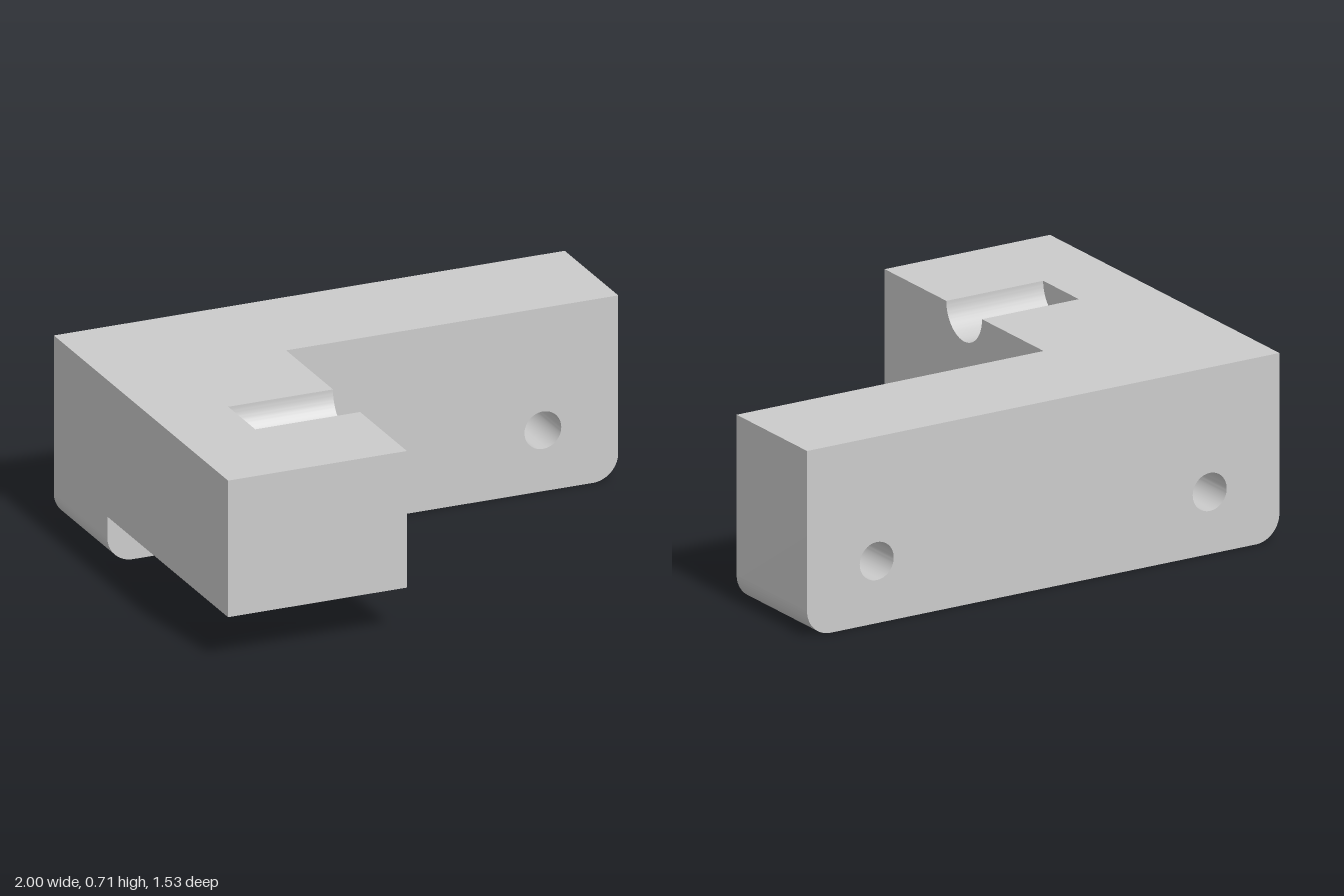
import * as THREE from 'three';
import { toCreasedNormals } from 'three/addons/utils/BufferGeometryUtils.js';

const TOP = 0.706, BACK = -0.765, STEP = -0.295, FRONT = 0.765;
const ARM_BOTTOM = 0.18, ARM_SPLIT = 0.45, ARM_IN = -0.3;
const HOLE_X = 0.705, HOLE_Y = 0.235, HOLE_R = 0.072;

export function createModel() {
  const group = new THREE.Group();
  const material = new THREE.MeshStandardMaterial({ color: 0xcccccc });

  function add(name, geometry) {
    const mesh = new THREE.Mesh(geometry, material);
    mesh.name = name;
    group.add(mesh);
  }
  function extrude(shape, depth) {
    const g = new THREE.ExtrudeGeometry(shape, { depth, bevelEnabled: false, curveSegments: 32 });
    return toCreasedNormals(g, 0.5);
  }
  function drill(shape, x) {
    shape.holes.push(new THREE.Path().absarc(x, HOLE_Y, HOLE_R, 0, Math.PI * 2, true));
  }
  function block(name, x0, x1, y0, y1, z0, z1) {
    const g = new THREE.BoxGeometry(x1 - x0, y1 - y0, z1 - z0);
    add(name, g.translate((x0 + x1) / 2, (y0 + y1) / 2, (z0 + z1) / 2));
  }

  // Back plate: rounded bottom corners and two through holes
  const r = 0.1;
  const plate = new THREE.Shape();
  plate.moveTo(-1, TOP);
  plate.lineTo(-1, r);
  plate.absarc(-1 + r, r, r, Math.PI, Math.PI * 1.5, false);
  plate.lineTo(1 - r, 0);
  plate.absarc(1 - r, r, r, -Math.PI / 2, 0, false);
  plate.lineTo(1, TOP);
  for (const side of [-1, 1]) drill(plate, side * HOLE_X);
  add('backPlate', extrude(plate, STEP - BACK).translate(0, 0, BACK));

  // Lower arm: the screw sleeve bulges out of its underside, bored along z
  const sleeveR = 0.097, sleeveEnd = 0.295;
  const a = Math.asin((HOLE_Y - ARM_BOTTOM) / sleeveR);
  const lower = new THREE.Shape();
  lower.moveTo(-1, ARM_SPLIT);
  lower.lineTo(-1, ARM_BOTTOM);
  lower.absarc(-HOLE_X, HOLE_Y, sleeveR, Math.PI + a, Math.PI * 2 - a, false);
  lower.lineTo(ARM_IN, ARM_BOTTOM);
  lower.lineTo(ARM_IN, ARM_SPLIT);
  drill(lower, -HOLE_X);
  add('armLowerWithSleeve', extrude(lower, sleeveEnd - STEP).translate(0, 0, STEP));
  block('armLowerTip', -1, ARM_IN, ARM_BOTTOM, ARM_SPLIT, sleeveEnd, FRONT);

  // Upper arm: solid outer part, and inner part with a half-round channel
  const channelX = -0.71, channelZ = 0.235, channelR = 0.119;
  block('armUpperOuter', -1, channelX, ARM_SPLIT, TOP, STEP, FRONT);
  const upper = new THREE.Shape();
  upper.moveTo(-FRONT, TOP);
  upper.lineTo(-FRONT, ARM_SPLIT);
  upper.lineTo(-STEP, ARM_SPLIT);
  upper.lineTo(-STEP, TOP);
  upper.lineTo(-channelZ + channelR, TOP);
  upper.absarc(-channelZ, TOP, channelR, 0, -Math.PI, true);
  add('armUpperWithChannel',
    extrude(upper, ARM_IN - channelX).rotateY(Math.PI / 2).translate(channelX, 0, 0));

  return group;
}
